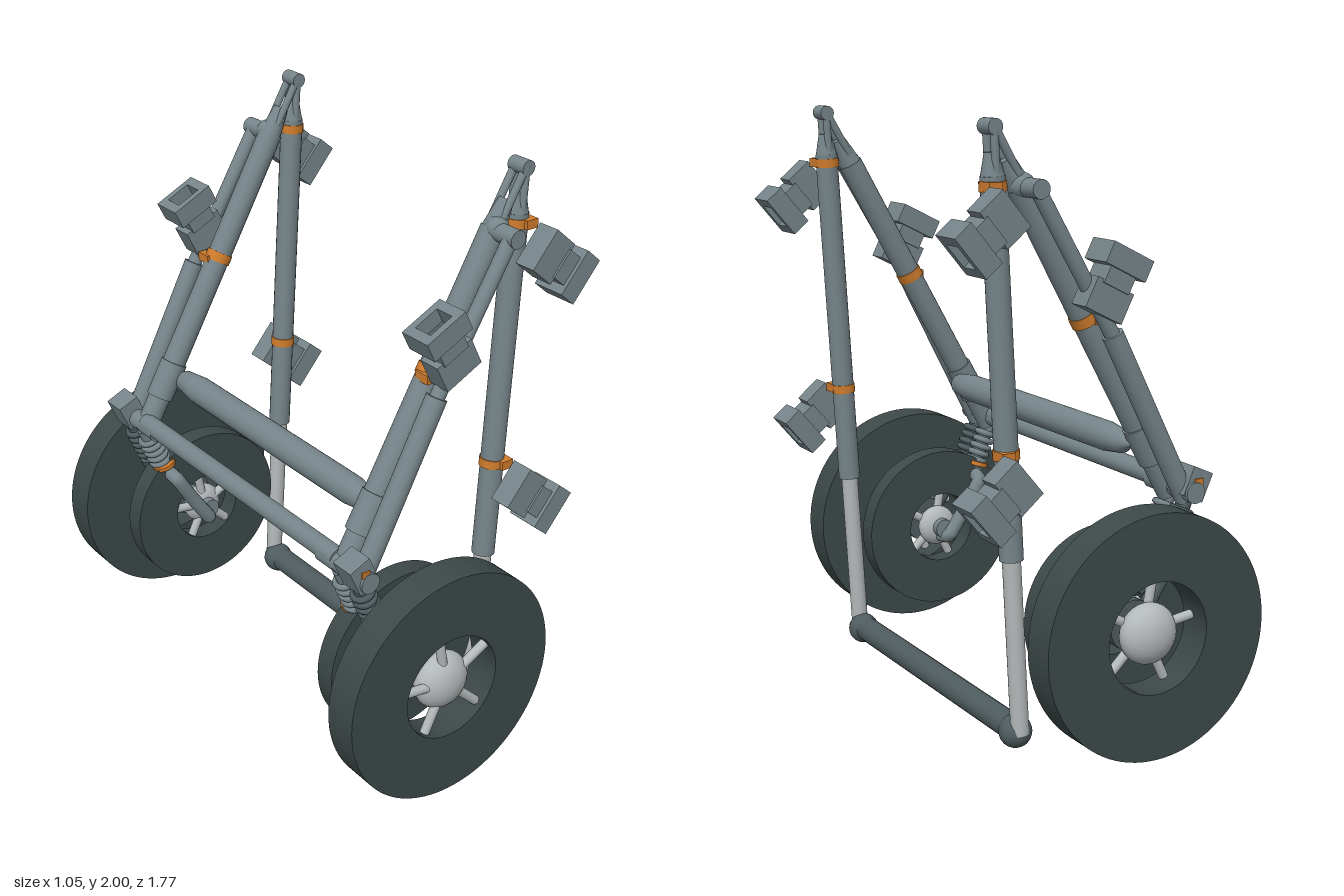
import * as THREE from 'three';

const mat = (name, color, side = THREE.FrontSide) => {
  const m = new THREE.MeshStandardMaterial({ color, side });
  m.name = name;
  return m;
};

export function createModel() {
  const slate = mat('slate frame', 0x76858a);
  const rubber = mat('dark rubber', 0x3d4848);
  const dark = mat('dark steel', 0x4f5c5f);
  const silver = mat('silver metal', 0xb4b9ba);
  const orange = mat('orange straps', 0xd07c2c);
  const root = new THREE.Group();
  root.name = 'landingGear';
  const V = (a) => new THREE.Vector3(...a);
  const UP = new THREE.Vector3(0, 1, 0);

  const add = (parent, name, geo, material, pos = [0, 0, 0]) => {
    const m = new THREE.Mesh(geo, material);
    m.name = name;
    m.position.set(...pos);
    parent.add(m);
    return m;
  };
  // Round bar between two points, optionally tapered
  const bar = (parent, name, a, b, r, material, r2 = r) => {
    const p = V(a), q = V(b), d = q.clone().sub(p);
    const m = add(parent, name, new THREE.CylinderGeometry(r2, r, d.length(), 20), material,
      p.clone().add(q).multiplyScalar(0.5).toArray());
    m.quaternion.setFromUnitVectors(UP, d.normalize());
    return m;
  };
  const ball = (parent, name, r, material, pos) =>
    add(parent, name, new THREE.SphereGeometry(r, 24, 16), material, pos);
  const mix = (a, b, t) => V(a).lerp(V(b), t).toArray();

  // Thick tyre ring with a round hole, hub ball and five spokes
  function wheel(parent, name, z, width, R, hole, hubR) {
    const g = new THREE.Group();
    g.name = name;
    g.position.set(-0.13, 0.405, z);
    parent.add(g);
    const h = width / 2;
    const shape = new THREE.Shape().absarc(0, 0, R, 0, Math.PI * 2);
    shape.holes.push(new THREE.Path().absarc(0, 0, hole, 0, Math.PI * 2, true));
    const geo = new THREE.ExtrudeGeometry(shape, { depth: width, bevelEnabled: false, curveSegments: 48 });
    add(g, 'tyre', geo.translate(0, 0, -h), rubber);
    const hub = ball(g, 'hub', hubR, silver, [0, 0, 0]);
    hub.scale.z = Math.min(1, (h + 0.005) / hubR);
    for (let i = 0; i < 5; i++) {
      const a = 0.49 + i * Math.PI * 0.4, c = Math.cos(a), s = Math.sin(a);
      bar(g, 'spoke', [c * hubR * 0.6, s * hubR * 0.6, h * 0.4],
        [c * (hole + 0.01), s * (hole + 0.01), h * 0.4], 0.016, silver);
    }
  }

  // Actuator box: local +x points away from the frame
  function actuator(parent, pos, angle) {
    const g = new THREE.Group();
    g.name = 'actuator';
    g.position.set(...pos);
    g.rotation.z = angle;
    parent.add(g);
    add(g, 'body', new THREE.BoxGeometry(0.10, 0.145, 0.08), slate, [0.07, 0, 0]);
    add(g, 'neck', new THREE.BoxGeometry(0.07, 0.10, 0.095), slate, [0.145, 0, 0]);
    // Hollow rectangular head
    const s = new THREE.Shape([[-0.06, -0.08], [0.06, -0.08], [0.06, 0.08], [-0.06, 0.08]]
      .map((p) => new THREE.Vector2(...p)));
    s.holes.push(new THREE.Path([[-0.035, -0.045], [-0.035, 0.045], [0.035, 0.045], [0.035, -0.045]]
      .map((p) => new THREE.Vector2(...p))));
    const head = new THREE.ExtrudeGeometry(s, { depth: 0.07, bevelEnabled: false });
    add(g, 'head', head.rotateY(Math.PI / 2), slate, [0.165, 0, 0]);
    add(g, 'headBack', new THREE.BoxGeometry(0.01, 0.10, 0.08), dark, [0.178, 0, 0]);
  }

  // One complete side frame, facing +z or -z
  function sideFrame(k) {
    const g = new THREE.Group();
    g.name = k > 0 ? 'frontFrame' : 'backFrame';
    root.add(g);
    const P = (x, y, z) => [x, y, z * k];

    // Long strut with sliding lower rod
    const top = P(0.312, 1.975, 0.595), foot = P(0.2, 0.055, 0.595);
    const at = (y) => mix(foot, top, (y - 0.055) / 1.92);
    bar(g, 'strutSleeve', at(0.64), at(1.83), 0.039, slate);
    bar(g, 'strutNeck', at(1.83), at(1.9), 0.037, slate, 0.022);
    bar(g, 'strutRod', foot, at(0.66), 0.03, silver);
    ball(g, 'footJoint', 0.055, dark, P(0.2, 0.055, 0.565));

    // Main diagonal leg
    const low = P(-0.36, 0.78, 0.595);
    bar(g, 'mainLeg', mix(low, top, 0.12), mix(low, top, 0.85), 0.042, slate);
    bar(g, 'legTip', mix(low, top, 0.84), mix(low, top, 0.92), 0.04, slate, 0.025);
    bar(g, 'legCollar', mix(low, top, 0.1), mix(low, top, 0.2), 0.048, slate);
    bar(g, 'legFoot', low, mix(low, top, 0.12), 0.04, slate);
    ball(g, 'legKnob', 0.04, slate, P(0.21, 1.8, 0.61));

    // Fork prongs meeting at the top pin
    for (const z of [0.572, 0.618]) {
      bar(g, 'forkProng', P(0.225, 1.83, z), P(0.312, 1.98, z), 0.013, slate);
      bar(g, 'forkProng', P(0.303, 1.84, z), P(0.312, 1.98, z), 0.013, slate);
    }
    bar(g, 'topPin', P(0.312, 1.975, 0.56), P(0.312, 1.975, 0.63), 0.025, slate);

    // Slim outer brace beside the main leg
    bar(g, 'outerBrace', P(-0.36, 0.78, 0.685), P(-0.07, 1.34, 0.685), 0.035, slate);
    bar(g, 'outerBraceRod', P(-0.08, 1.32, 0.685), P(0.2, 1.79, 0.685), 0.025, slate);
    bar(g, 'bracePin', P(0.205, 1.795, 0.6), P(0.205, 1.795, 0.715), 0.03, slate);
    bar(g, 'lowerPin', P(-0.36, 0.81, 0.5), P(-0.36, 0.81, 0.745), 0.035, slate);
    const block = add(g, 'lowerBlock', new THREE.BoxGeometry(0.08, 0.1, 0.09), slate, P(-0.375, 0.835, 0.69));
    block.rotation.z = 0.42;
    add(g, 'blockStud', new THREE.BoxGeometry(0.03, 0.02, 0.006), orange, P(-0.375, 0.845, 0.738));

    // Sprung links down to each wheel
    for (const [z, side, m] of [[0.595, 0.52, slate], [0.685, 0.715, dark]]) {
      const a = P(-0.365, 0.79, z), b = P(-0.285, 0.6, z);
      bar(g, 'damper', a, b, 0.026, m);
      for (let i = 0; i < 5; i++) {
        const ring = add(g, 'springCoil', new THREE.TorusGeometry(0.032, 0.011, 8, 20), m, mix(a, b, 0.25 + i * 0.13));
        ring.quaternion.setFromUnitVectors(new THREE.Vector3(0, 0, 1), V(b).sub(V(a)).normalize());
      }
      bar(g, 'damperCollar', mix(a, b, 0.9), mix(a, b, 1.08), 0.04, m);
      const path = new THREE.CatmullRomCurve3([P(-0.285, 0.6, z), P(-0.275, 0.58, side),
        P(-0.22, 0.49, side), P(-0.145, 0.38, side), P(-0.13, 0.37, z)].map(V), false, 'catmullrom', 0.2);
      add(g, 'wheelLink', new THREE.TubeGeometry(path, 32, 0.026, 12), m);
    }
    bar(g, 'strapOnDamper', P(-0.3, 0.64, 0.58), P(-0.295, 0.625, 0.58), 0.043, orange);
    bar(g, 'axle', P(-0.13, 0.405, 0.53), P(-0.13, 0.405, 0.82), 0.035, slate);
    const caliper = add(g, 'brakeBlock', new THREE.BoxGeometry(0.12, 0.07, 0.05), dark, P(-0.2, 0.56, 0.705));
    caliper.rotation.z = -0.5;
    bar(g, 'axleHousing', P(-0.13, 0.405, 0.68), P(-0.13, 0.405, 0.74), 0.085, dark);

    // Wheels
    wheel(g, 'outerWheel', 0.82 * k, 0.12, 0.402, 0.183, 0.1);
    wheel(g, 'innerWheel', 0.595 * k, 0.075, 0.295, 0.13, 0.075);

    // Actuators and orange straps
    actuator(g, P(0.285, 1.76, 0.695), -0.7);
    actuator(g, P(0.235, 0.95, 0.695), -0.7);
    actuator(g, P(0.005, 1.39, 0.695), 2.035);
    for (const y of [1.8, 0.98]) {
      bar(g, 'strap', at(y - 0.015), at(y + 0.015), 0.043, orange);
      add(g, 'strapTab', new THREE.BoxGeometry(0.045, 0.03, 0.06), orange, P(at(y)[0] + 0.02, y, 0.62));
    }
    bar(g, 'strap', mix(low, top, 0.49), mix(low, top, 0.515), 0.046, orange);
    add(g, 'strapTab', new THREE.BoxGeometry(0.04, 0.03, 0.06), orange, P(-0.055, 1.38, 0.615));
  }
  sideFrame(1);
  sideFrame(-1);

  // Cross members joining both frames
  const cross = [[0, -0.6], [0.02, -0.57], [0.038, -0.55], [0.05, -0.45], [0.05, 0.45], [0.038, 0.55], [0.02, 0.57], [0, 0.6]];
  const beam = add(root, 'upperCrossBeam',
    new THREE.LatheGeometry(cross.map((p) => new THREE.Vector2(...p)), 24), slate, [-0.21, 0.957, 0]);
  beam.rotation.x = Math.PI / 2;
  bar(root, 'rearCrossBar', [-0.36, 0.82, -0.58], [-0.36, 0.82, 0.58], 0.034, slate);
  bar(root, 'groundBar', [0.2, 0.06, -0.56], [0.2, 0.06, 0.56], 0.044, dark);
  return root;
}
